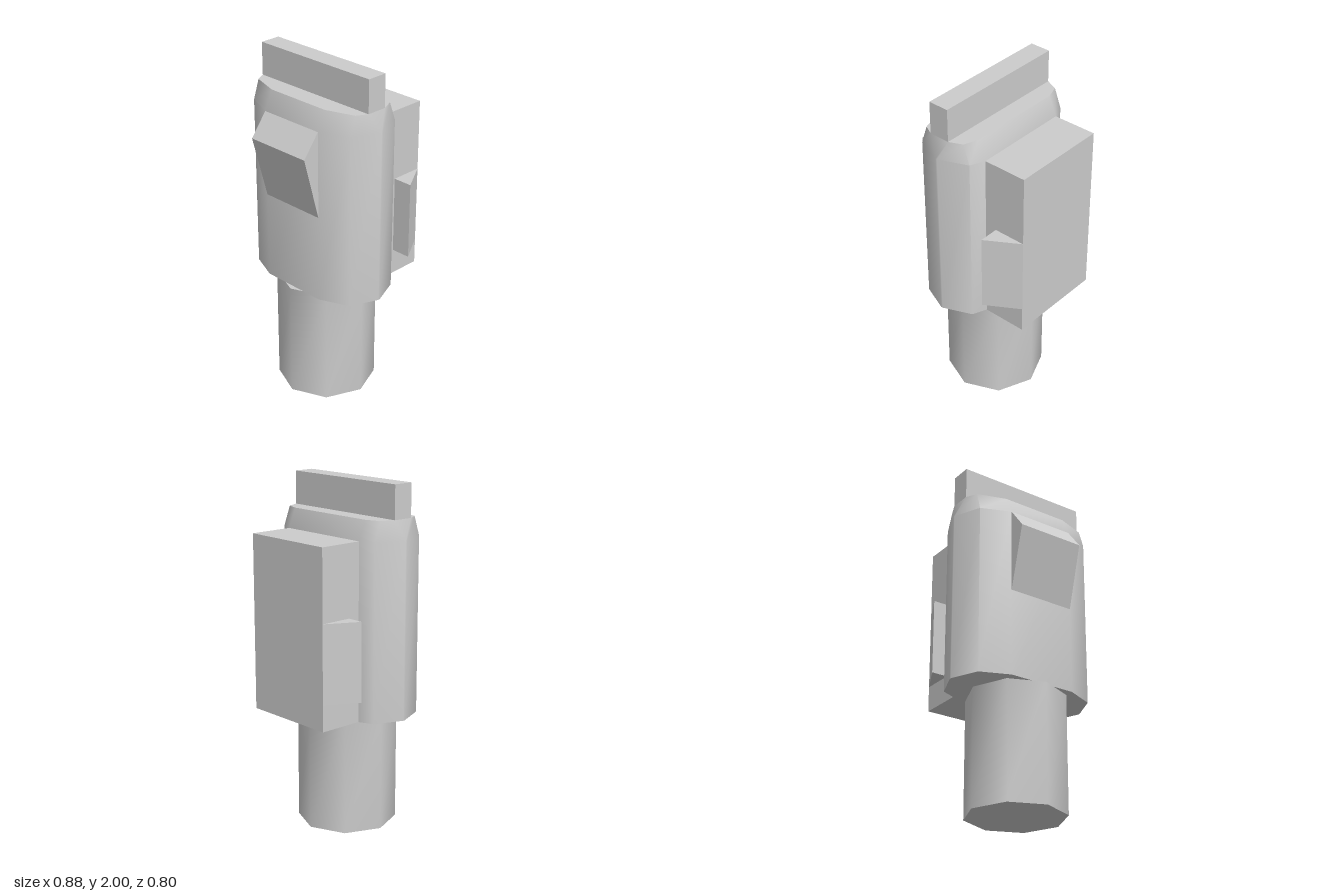
import * as THREE from 'three';
import { toCreasedNormals } from 'three/addons/utils/BufferGeometryUtils.js';

const material = new THREE.MeshStandardMaterial({ color: 0xcccccc });

function add(group, name, geometry, x = 0, y = 0, z = 0) {
  const mesh = new THREE.Mesh(geometry, material);
  mesh.name = name;
  mesh.position.set(x, y, z);
  group.add(mesh);
}

// Closed solid through horizontal rings of [x, z] points, ordered front to +x
function loft(rings, heights) {
  const pos = [];
  const n = rings[0].length;
  const point = (r, i) => [rings[r][i % n][0], heights[r], rings[r][i % n][1]];
  const centre = (r) => {
    const sum = rings[r].reduce((s, p) => [s[0] + p[0] / n, s[1] + p[1] / n], [0, 0]);
    return [sum[0], heights[r], sum[1]];
  };
  const last = rings.length - 1;
  for (let i = 0; i < n; i++) {
    for (let r = 0; r < last; r++) {
      const a = point(r, i), b = point(r, i + 1), c = point(r + 1, i + 1), d = point(r + 1, i);
      pos.push(...a, ...b, ...c, ...a, ...c, ...d);
    }
    pos.push(...centre(last), ...point(last, i), ...point(last, i + 1));
    pos.push(...centre(0), ...point(0, i + 1), ...point(0, i));
  }
  const geometry = new THREE.BufferGeometry();
  geometry.setAttribute('position', new THREE.Float32BufferAttribute(pos, 3));
  return toCreasedNormals(geometry, 0.85);
}

const mirrorX = (points) => points.map(([x, z]) => [-x, z]).reverse();
const symmetric = (half) => [...half, ...mirrorX(half)];

export function createModel() {
  const group = new THREE.Group();

  // Octagonal stem
  const stem = new THREE.CylinderGeometry(0.285, 0.285, 0.69, 8);
  add(group, 'stem', toCreasedNormals(stem, 0.85), 0.005, 0.345, 0.045);

  // Faceted housing with a chamfered top
  const outline = symmetric([[0.203, 0.3], [0.372, 0.23], [0.44, 0.07], [0.44, 0.06], [0.372, -0.105], [0.288, -0.14]]);
  const crown = symmetric([[0.203, 0.25], [0.37, 0.195], [0.404, 0.132], [0.404, 0.01], [0.37, -0.065], [0.288, -0.093]]);
  add(group, 'housing', loft([outline, outline, crown], [0.69, 1.7, 1.81]));

  // Upright blade on top
  add(group, 'topBlade', new THREE.BoxGeometry(0.808, 0.19, 0.122), 0, 1.905, 0.072);

  // Block on the back
  add(group, 'backBlock', new THREE.BoxGeometry(0.576, 1.01, 0.28), 0, 1.195, -0.26);

  // Triangular wings on both sides of the back block
  const wing = (x) => [[0.28, -0.21], [x, -0.21], [0.288, -0.4], [0.28, -0.4]];
  add(group, 'leftWing', loft([wing(0.404), wing(0.404)], [0.84, 1.29]));
  const rightWing = mirrorX(wing(0.386));
  add(group, 'rightWing', loft([rightWing, rightWing], [0.84, 1.29]));

  // Wedge on the front, its side profile extruded across x
  const profile = new THREE.Shape([[-0.29, 1.2], [-0.3, 1.2], [-0.4, 1.57], [-0.3, 1.7], [-0.29, 1.7]]
    .map(([x, y]) => new THREE.Vector2(x, y)));
  const wedge = new THREE.ExtrudeGeometry(profile, { depth: 0.406, bevelEnabled: false });
  wedge.translate(0, 0, -0.203).rotateY(Math.PI / 2);
  add(group, 'frontWedge', wedge);

  return group;
}
